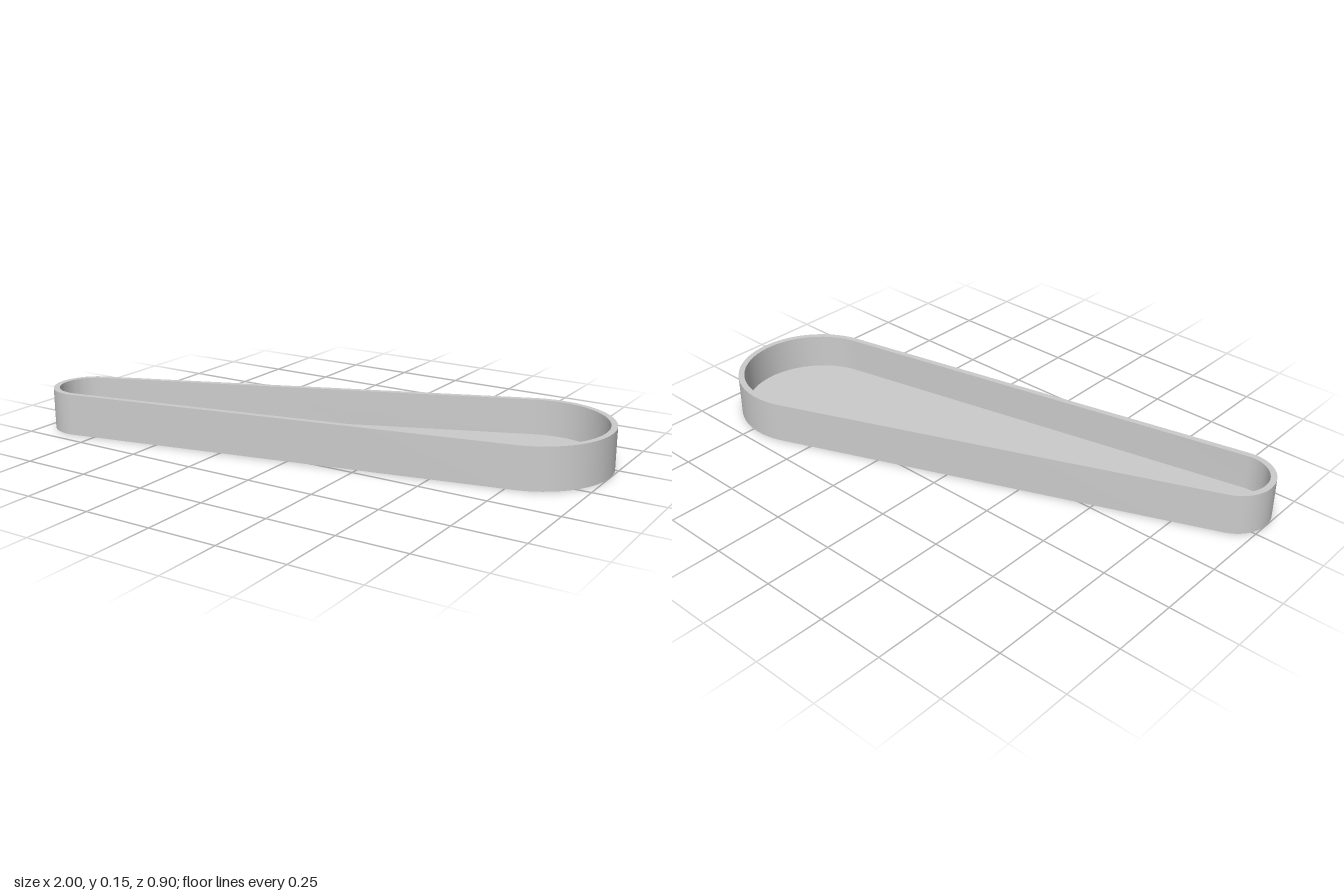
import * as THREE from 'three';
import { toCreasedNormals } from 'three/addons/utils/BufferGeometryUtils.js';

const BIG = { x: 0.715, z: -0.165, r: 0.285 };
const SMALL = { x: -0.863, z: 0.313, r: 0.137 };
const HEIGHT = 0.153, WALL = 0.022, FLOOR = 0.022, STEPS = 40;

// Outline of two circles joined by their common tangents, shrunk by inset
function outline(inset, y) {
  const dx = BIG.x - SMALL.x, dz = BIG.z - SMALL.z;
  const axis = Math.atan2(dz, dx);
  const half = Math.acos((SMALL.r - BIG.r) / Math.hypot(dx, dz));
  const points = [];
  const arc = (c, from, to) => {
    for (let i = 0; i <= STEPS; i++) {
      const a = from + (to - from) * i / STEPS, r = c.r - inset;
      points.push([c.x + r * Math.cos(a), y, c.z + r * Math.sin(a)]);
    }
  };
  arc(BIG, axis - half, axis + half);
  arc(SMALL, axis + half, axis + 2 * Math.PI - half);
  return points;
}

function trayGeometry() {
  // Underside edge, outer rim, inner rim, floor edge
  const rows = [outline(0, 0), outline(0, HEIGHT), outline(WALL, HEIGHT), outline(WALL, FLOOR)];
  const n = rows[0].length, pos = [];
  const tri = (a, b, c) => pos.push(...a, ...b, ...c);
  for (let i = 0; i < n; i++) {
    const j = (i + 1) % n;
    for (let k = 0; k < 3; k++) {
      const a = rows[k], b = rows[k + 1];
      tri(a[i], b[i], b[j]);
      tri(a[i], b[j], a[j]);
    }
    // Underside and floor
    tri([0, 0, 0], rows[0][i], rows[0][j]);
    tri(rows[3][i], [0, FLOOR, 0], rows[3][j]);
  }
  const geometry = new THREE.BufferGeometry();
  geometry.setAttribute('position', new THREE.Float32BufferAttribute(pos, 3));
  return toCreasedNormals(geometry, 0.6);
}

export function createModel() {
  const grey = new THREE.MeshStandardMaterial({ color: 0xcccccc });
  grey.name = 'light grey';
  const tray = new THREE.Mesh(trayGeometry(), grey);
  tray.name = 'taperedTray';
  const group = new THREE.Group();
  group.name = 'tray';
  group.add(tray);
  return group;
}
